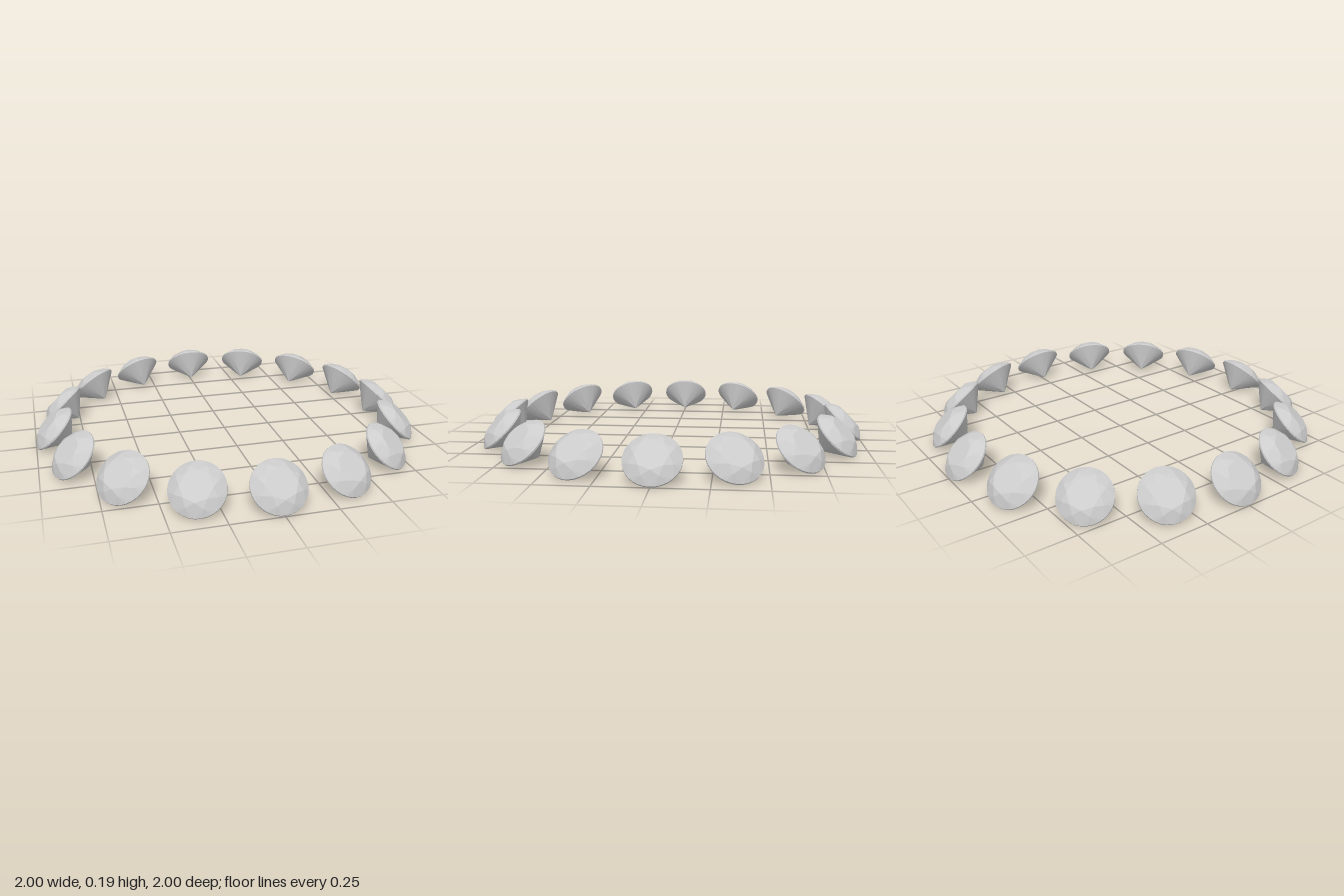
import * as THREE from 'three';

const GEM_COUNT = 16;
const R = 0.131;                       // girdle radius
const TILT = Math.PI / 4;              // each gem leans outward
const GIRDLE = 0.03;                   // half thickness, in girdle radii
const OFFSET = Math.SQRT1_2 * R * (1 + GIRDLE);

// Round brilliant cut, with heights and radii in units of the girdle radius
function brilliantGeometry() {
  const positions = [];
  const at = (turn, radius, y) => {
    const a = turn * Math.PI / 4;      // turn counts eighths of a circle
    return new THREE.Vector3(Math.sin(a) * radius, y, Math.cos(a) * radius);
  };
  // Adds a triangle facing away from the middle of the stone
  const tri = (a, b, c) => {
    const n = b.clone().sub(a).cross(c.clone().sub(a));
    const mid = a.clone().add(b).add(c);
    const order = n.dot(mid) < 0 ? [a, c, b] : [a, b, c];
    for (const p of order) positions.push(p.x * R, p.y * R, p.z * R);
  };

  const tableR = 0.57, crownH = 0.32, starR = 0.78;
  const pavilionH = 0.86, lowerR = 0.25;
  const starY = GIRDLE + crownH * (1 - starR * Math.cos(Math.PI / 8)) / (1 - tableR);
  const lowerY = -GIRDLE - pavilionH * (1 - lowerR * Math.cos(Math.PI / 8));
  const table = k => at(k, tableR, GIRDLE + crownH);
  const star = k => at(k, starR, starY);
  const lower = k => at(k, lowerR, lowerY);
  const top = k => at(k, 1, GIRDLE);
  const bottom = k => at(k, 1, -GIRDLE);
  const tableCentre = at(0, 0, GIRDLE + crownH);
  const culet = at(0, 0, -GIRDLE - pavilionH);

  for (let k = 0; k < 8; k++) {
    // Table and star facets
    tri(tableCentre, table(k), table(k + 1));
    tri(table(k), star(k + 0.5), table(k + 1));
    // Kite facets of the crown and main facets of the pavilion
    for (const s of [-0.5, 0.5]) {
      tri(table(k), star(k + s), top(k));
      tri(culet, lower(k + s), bottom(k));
    }
    // Half facets above and below the rounded girdle
    for (let j = 0; j < 4; j++) {
      const a = k + j / 4, b = k + (j + 1) / 4;
      tri(star(k + 0.5), top(a), top(b));
      tri(lower(k + 0.5), bottom(a), bottom(b));
      tri(top(a), bottom(a), bottom(b));
      tri(top(a), bottom(b), top(b));
    }
  }

  const geometry = new THREE.BufferGeometry();
  geometry.setAttribute('position', new THREE.Float32BufferAttribute(positions, 3));
  geometry.computeVertexNormals();
  return geometry;
}

export function createModel() {
  const model = new THREE.Group();
  model.name = 'gemRing';
  const geometry = brilliantGeometry();
  const material = new THREE.MeshStandardMaterial({ color: 0xcccccc, flatShading: true });

  // Gems spaced evenly around the circle, tables facing up and outward
  for (let i = 0; i < GEM_COUNT; i++) {
    const spoke = new THREE.Group();
    spoke.name = `gemSpoke${i + 1}`;
    spoke.rotation.y = i * 2 * Math.PI / GEM_COUNT;
    const gem = new THREE.Mesh(geometry, material);
    gem.name = `gem${i + 1}`;
    gem.position.set(0, OFFSET, 1 - OFFSET);
    gem.rotation.x = TILT;
    spoke.add(gem);
    model.add(spoke);
  }
  return model;
}
